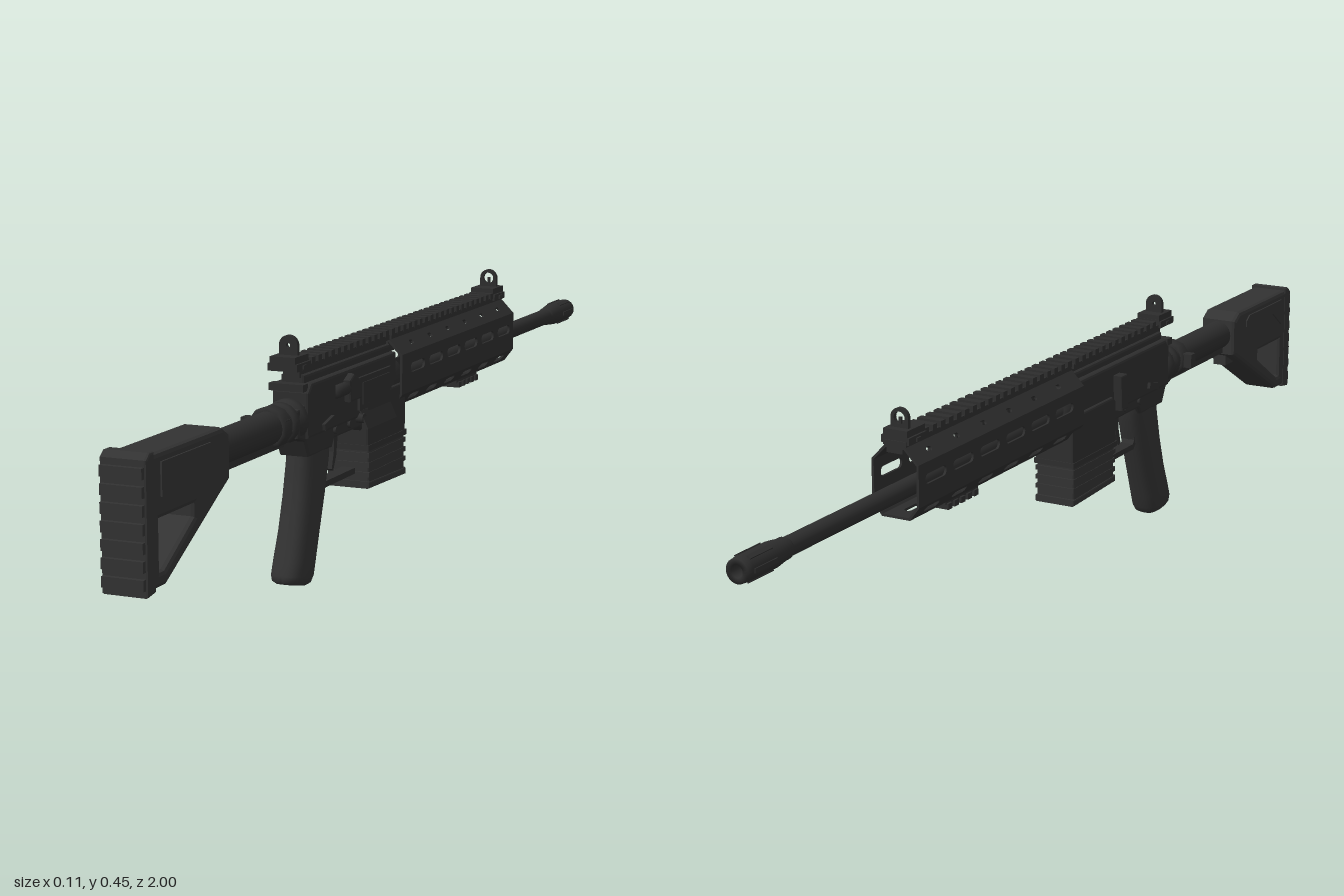
import * as THREE from 'three';

export function createModel() {
  const root = new THREE.Group();
  const metal = new THREE.MeshStandardMaterial({ color: 0x2d2d2d });
  const polymer = new THREE.MeshStandardMaterial({ color: 0x323232 });
  metal.name = 'dark metal';
  polymer.name = 'dark polymer';

  const add = (name, geo, mat = metal, parent = root) => {
    const m = new THREE.Mesh(geo, mat);
    m.name = name;
    parent.add(m);
    return m;
  };
  // Box given by its ranges on x, y and z
  const box = (name, x0, x1, y0, y1, z0, z1, mat, parent) => {
    const m = add(name, new THREE.BoxGeometry(x1 - x0, y1 - y0, z1 - z0), mat, parent);
    m.position.set((x0 + x1) / 2, (y0 + y1) / 2, (z0 + z1) / 2);
    return m;
  };
  const poly = (pts, C = THREE.Shape) => new C(pts.map(p => new THREE.Vector2(p[0], p[1])));
  // Side profile in (z, y), extruded across x and centred on x = cx
  const side = (name, pts, width, { mat = metal, bevel = 0, holes = [], cx = 0 } = {}) => {
    const s = poly(pts);
    s.holes = holes.map(h => poly(h, THREE.Path));
    const g = new THREE.ExtrudeGeometry(s, {
      depth: width - 2 * bevel, bevelEnabled: bevel > 0, bevelSize: bevel,
      bevelThickness: bevel, bevelOffset: -bevel, bevelSegments: 2,
    });
    g.translate(0, 0, -width / 2 + bevel).rotateY(-Math.PI / 2).translate(cx, 0, 0);
    return add(name, g, mat);
  };
  // Round part along z from [radius, z] pairs, listed from low z to high z
  const turned = (name, pts, y, segs = 24) => {
    const g = new THREE.LatheGeometry(pts.map(p => new THREE.Vector2(p[0], p[1])), segs);
    const m = add(name, g.rotateX(Math.PI / 2));
    m.position.y = y;
    return m;
  };
  const pin = (name, x0, x1, y, z, r) => {
    const m = add(name, new THREE.CylinderGeometry(r, r, x1 - x0, 14).rotateZ(Math.PI / 2));
    m.position.set((x0 + x1) / 2, y, z);
  };
  const slot = (u, v, w, h) => {
    const p = new THREE.Path(), r = h / 2, a = w / 2 - r;
    p.absarc(u + a, v, r, -Math.PI / 2, Math.PI / 2);
    p.absarc(u - a, v, r, Math.PI / 2, Math.PI * 1.5);
    p.closePath();
    return p;
  };

  // Barrel and ribbed muzzle
  turned('barrel', [[0.0165, -0.9], [0.0165, 0.05]], 0.305);
  turned('muzzleDevice', [[0, -0.94], [0.011, -0.94], [0.011, -1], [0.021, -1], [0.0225, -0.985], [0.0225, -0.91],
    [0.019, -0.885], [0.019, -0.875], [0.0165, -0.87]], 0.305);
  for (let i = 0; i < 6; i++) {
    const a = i * Math.PI / 3;
    const rib = box('muzzleRib', -0.004, 0.004, -0.002, 0.002, -0.03, 0.03);
    rib.position.set(Math.cos(a) * 0.0225, 0.305 + Math.sin(a) * 0.0225, -0.955);
    rib.rotation.z = a + Math.PI / 2;
  }

  // Handguard: eight slotted plates around a hollow core
  const ring = [[0.028, 0.26], [0.047, 0.285], [0.047, 0.36], [0.02, 0.388],
    [-0.02, 0.388], [-0.047, 0.36], [-0.047, 0.285], [-0.028, 0.26]];
  const low = [0.045, 0.014], wide = [0.068, 0.018], small = [0.016, 0.009];
  const slotSize = [low, wide, small, null, small, wide, low, low];
  const handguard = new THREE.Group();
  handguard.name = 'handguard';
  root.add(handguard);
  ring.forEach((a, i) => {
    const b = ring[(i + 1) % 8];
    const V = new THREE.Vector3(b[0] - a[0], b[1] - a[1], 0), len = V.length();
    V.normalize();
    const U = new THREE.Vector3(0, 0, 1), W = U.clone().cross(V);
    const s = poly([[-0.55, 0], [0.03, 0], [0.03, len], [-0.55, len]]);
    const v = i === 1 ? 0.045 : i === 5 ? len - 0.045 : len / 2;
    if (slotSize[i]) for (let k = 0; k < 6; k++) s.holes.push(slot(-0.045 - k * 0.09, v, ...slotSize[i]));
    const g = new THREE.ExtrudeGeometry(s, { depth: 0.0045, bevelEnabled: false, curveSegments: 6 });
    g.applyMatrix4(new THREE.Matrix4().makeBasis(U, V, W).setPosition(a[0], a[1], 0));
    add('handguardPlate', g, metal, handguard);
  });

  // Top rail with cross teeth, in two lengths
  const rail = new THREE.Group();
  rail.name = 'topRail';
  root.add(rail);
  for (const [z0, z1] of [[-0.55, 0.025], [0.035, 0.405]]) {
    box('railBase', -0.016, 0.016, 0.375, 0.392, z0, z1, metal, rail);
    box('railBed', -0.023, 0.023, 0.388, 0.397, z0, z1, metal, rail);
    for (let z = z0 + 0.004; z < z1 - 0.012; z += 0.0265)
      box('railTooth', -0.024, 0.024, 0.395, 0.407, z, z + 0.014, metal, rail);
  }
  // Short lower rail
  box('lowerRailBase', -0.018, 0.018, 0.249, 0.262, -0.42, -0.31);
  for (let k = 0; k < 5; k++) box('lowerRailTooth', -0.022, 0.022, 0.24, 0.251, -0.416 + k * 0.022, -0.403 + k * 0.022);

  // Upper receiver
  side('upperReceiver', [[0.03, 0.27], [0.41, 0.27], [0.41, 0.35], [0.395, 0.366], [0.03, 0.366]], 0.07, { bevel: 0.005 });
  side('receiverRoof', [[0.03, 0.36], [0.4, 0.36], [0.4, 0.38], [0.03, 0.38]], 0.046, { bevel: 0.005 });
  turned('barrelNut', [[0.02, 0.0], [0.036, 0.0], [0.036, 0.04]], 0.315);
  box('ejectionPortFrame', 0.03, 0.04, 0.285, 0.345, 0.065, 0.205);
  box('ejectionPortCover', 0.038, 0.042, 0.295, 0.335, 0.075, 0.195);
  const cover = box('dustCover', -0.0015, 0.0015, -0.018, 0.018, -0.065, 0.065);
  cover.position.set(0.045, 0.267, 0.135);
  cover.rotation.z = 0.42;
  side('brassDeflector', [[0.21, 0.31], [0.26, 0.31], [0.265, 0.35], [0.245, 0.36], [0.215, 0.345]], 0.02, { bevel: 0.004, cx: 0.038 });
  turned('forwardAssist', [[0, 0.255], [0.012, 0.255], [0.012, 0.3], [0, 0.3]], 0.335).position.x = 0.036;

  // Lower receiver, pins and controls
  side('lowerReceiver', [[0.0, 0.24], [0.17, 0.24], [0.18, 0.25], [0.29, 0.25], [0.3, 0.235], [0.395, 0.235],
    [0.41, 0.265], [0.44, 0.275], [0.44, 0.325], [0.41, 0.33], [0.4, 0.305], [0.2, 0.29], [0.0, 0.29]], 0.058, { bevel: 0.004 });
  side('magazineWell', [[0.0, 0.205], [0.172, 0.21], [0.172, 0.295], [0.16, 0.305], [0.0, 0.305]], 0.082, { bevel: 0.004 });
  box('magazineWellLip', -0.0425, 0.0425, 0.205, 0.215, -0.002, 0.174);
  for (const [y, z] of [[0.285, 0.385], [0.265, 0.29], [0.265, 0.23], [0.28, 0.33]]) pin('receiverPin', -0.034, 0.034, y, z, 0.007);
  for (const s of [-1, 1]) {
    const lever = box('selectorLever', -0.004, 0.004, -0.006, 0.006, -0.02, 0.02);
    lever.position.set(s * 0.037, 0.286, 0.335);
    lever.rotation.x = 0.25;
  }
  side('boltCatch', [[0.175, 0.275], [0.2, 0.275], [0.205, 0.315], [0.195, 0.345], [0.17, 0.345]], 0.022, { bevel: 0.003, cx: -0.042 });
  pin('magazineRelease', 0.03, 0.044, 0.27, 0.195, 0.009);

  // Magazine with ribs on front and back
  side('magazine', [[0.004, 0.132], [0.166, 0.137], [0.166, 0.22], [0.004, 0.22]], 0.08, { mat: polymer, bevel: 0.004 });
  side('magazineFloor', [[0.0, 0.129], [0.17, 0.134], [0.17, 0.147], [0.0, 0.142]], 0.084, { mat: polymer, bevel: 0.003 });
  for (let k = 0; k < 3; k++) {
    const y = 0.155 + k * 0.018;
    box('magazineRib', -0.041, 0.041, y, y + 0.009, 0.001, 0.169, polymer);
  }

  // Trigger and guard
  side('triggerGuard', [[0.168, 0.16], [0.3, 0.16], [0.315, 0.175], [0.315, 0.24], [0.303, 0.24], [0.303, 0.178], [0.297, 0.171],
    [0.168, 0.171]], 0.026);
  side('trigger', [[0.228, 0.255], [0.245, 0.255], [0.247, 0.215], [0.256, 0.185], [0.25, 0.181], [0.237, 0.205]], 0.014);

  // Pistol grip: a cylinder reshaped by stations [y, z centre, half x, half z]
  const stations = [[0.255, 0.338, 0.028, 0.054], [0.22, 0.342, 0.029, 0.053], [0.16, 0.358, 0.03, 0.048], [0.1, 0.378, 0.0305, 0.045],
    [0.05, 0.397, 0.032, 0.044], [0.025, 0.406, 0.032, 0.044], [0.014, 0.41, 0.029, 0.04], [0.009, 0.412, 0.021, 0.032]];
  const grip = new THREE.CylinderGeometry(1, 1, 1, 28, stations.length - 1);
  const gp = grip.attributes.position;
  const soft = c => Math.sign(c) * Math.pow(Math.abs(c), 0.75);
  for (let i = 0; i < gp.count; i++) {
    const t = 0.5 - gp.getY(i);
    const [y, zc, hx, hz] = stations[Math.round(t * (stations.length - 1))];
    const dz = soft(gp.getZ(i)) * hz;
    gp.setXYZ(i, soft(gp.getX(i)) * hx, y + dz * 0.22 * t, zc + dz);
  }
  grip.computeVertexNormals();
  add('pistolGrip', grip, polymer);

  // Stock tube, nut and sling plate
  turned('stockTube', [[0.029, 0.42], [0.029, 0.73]], 0.303);
  turned('tubeCollar', [[0.03, 0.41], [0.038, 0.415], [0.038, 0.43], [0.03, 0.433], [0.03, 0.442], [0.036, 0.445], [0.036, 0.458], [0.029, 0.46]], 0.303);
  turned('castleNut', [[0.029, 0.475], [0.037, 0.475], [0.037, 0.5], [0.029, 0.5]], 0.303, 10);
  box('slingPlate', -0.052, 0.034, 0.29, 0.318, 0.476, 0.496);
  box('tubeKey', -0.012, 0.012, 0.265, 0.285, 0.46, 0.72);
  box('chargingHandle', -0.036, 0.03, 0.353, 0.366, 0.4, 0.42);

  // Shoulder stock with triangular opening
  side('stockBody', [[0.98, 0.35], [0.735, 0.35], [0.71, 0.335], [0.71, 0.262], [0.75, 0.24], [0.93, 0.137], [0.98, 0.137]], 0.078,
    { mat: polymer, bevel: 0.008, holes: [[[0.948, 0.245], [0.948, 0.163], [0.935, 0.163], [0.835, 0.225], [0.835, 0.245]]] });
  side('buttPad', [[0.965, 0.134], [0.992, 0.13], [0.992, 0.345], [0.98, 0.355], [0.965, 0.355]], 0.082, { mat: polymer, bevel: 0.004 });
  for (let k = 0; k < 7; k++) box('buttPadRib', -0.037, 0.037, 0.142 + k * 0.029, 0.16 + k * 0.029, 0.985, 1, polymer);
  for (const s of [-1, 1])
    side('stockSidePanel', [[0.945, 0.335], [0.78, 0.335], [0.765, 0.325], [0.765, 0.312], [0.9, 0.312], [0.945, 0.28]], 0.004, { mat: polymer, cx: s * 0.04 });
  box('stockLatch', -0.014, 0.014, 0.235, 0.265, 0.72, 0.78, polymer);

  // Folding sights: clamp base, cross bolt and pierced blade
  const sight = (name, z0, z1, bladeZ, holeR) => {
    const g = new THREE.Group();
    g.name = name;
    root.add(g);
    box('sightClamp', -0.028, 0.028, 0.391, 0.404, z0, z1, metal, g);
    box('sightBase', -0.024, 0.024, 0.403, 0.416, z0, z1, metal, g);
    box('sightBolt', -0.031, 0.031, 0.393, 0.4, (z0 + z1) / 2 - 0.006, (z0 + z1) / 2 + 0.006, metal, g);
    const s = new THREE.Shape();
    s.moveTo(-0.0175, 0.41);
    s.lineTo(0.0175, 0.41);
    s.absarc(0, 0.433, 0.0175, 0, Math.PI);
    s.closePath();
    const h = new THREE.Path();
    h.absarc(0, 0.433, holeR, 0, Math.PI * 2);
    s.holes.push(h);
    const blade = add('sightBlade', new THREE.ExtrudeGeometry(s, { depth: 0.008, bevelEnabled: false }), metal, g);
    blade.position.z = bladeZ - 0.004;
    return g;
  };
  sight('rearSight', 0.385, 0.44, 0.412, 0.004);
  const front = sight('frontSight', -0.548, -0.492, -0.53, 0.011);
  box('sightPost', -0.0025, 0.0025, 0.415, 0.434, -0.532, -0.528, metal, front);

  return root;
}
